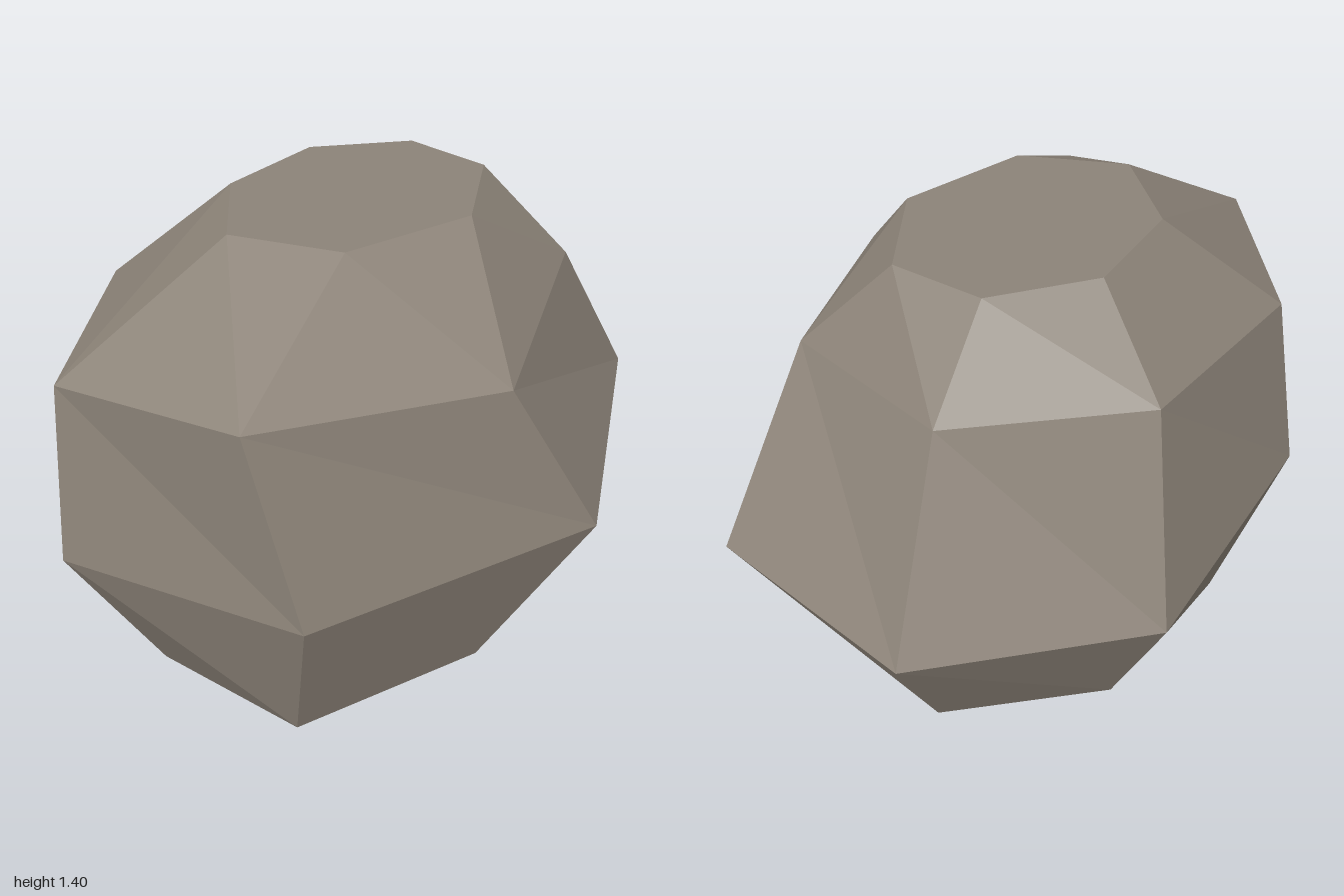
import * as THREE from 'three';

// Rings of seven corners [x, y, z], from the ground up, running from +x towards +z
const RINGS = [
  // base
  [[0.69, 0, -0.17], [0.57, 0, 0.30], [-0.03, 0, 0.54], [-0.64, 0, 0.34],
    [-0.72, 0, -0.18], [-0.28, 0, -0.60], [0.31, 0, -0.56]],
  // widest girth
  [[1.0, 0.57, -0.30], [0.94, 0.61, 0.37], [0.17, 0.555, 0.80], [-0.75, 0.565, 0.50],
    [-1.0, 0.56, -0.22], [-0.41, 0.56, -0.76], [0.46, 0.55, -0.80]],
  // shoulder
  [[0.69, 1.13, -0.21], [0.59, 1.14, 0.33], [-0.07, 1.07, 0.63], [-0.79, 1.15, 0.34],
    [-0.92, 1.10, -0.25], [-0.40, 1.10, -0.66], [0.31, 1.15, -0.65]],
  // flat crown
  [[0.46, 1.4, -0.20], [0.46, 1.4, 0.09], [0.15, 1.4, 0.29], [-0.26, 1.4, 0.19],
    [-0.40, 1.4, -0.12], [-0.16, 1.4, -0.37], [0.20, 1.4, -0.40]],
];

function boulderGeometry(rings) {
  const positions = [];
  const tri = (a, b, c) => positions.push(...a, ...b, ...c);
  const n = rings[0].length;

  // Faceted bands between neighbouring rings
  for (let r = 0; r < rings.length - 1; r++) {
    const low = rings[r], high = rings[r + 1];
    for (let i = 0; i < n; i++) {
      const j = (i + 1) % n;
      tri(low[i], high[j], low[j]);
      tri(low[i], high[i], high[j]);
    }
  }

  // Flat base and crown
  const base = rings[0], crown = rings[rings.length - 1];
  for (let i = 1; i < n - 1; i++) {
    tri(base[0], base[i], base[i + 1]);
    tri(crown[0], crown[i + 1], crown[i]);
  }

  const geometry = new THREE.BufferGeometry();
  geometry.setAttribute('position', new THREE.Float32BufferAttribute(positions, 3));
  geometry.computeVertexNormals();
  return geometry;
}

export function createModel() {
  const stone = new THREE.MeshStandardMaterial({ color: 0x8c8378 });
  stone.name = 'stone';
  stone.flatShading = true;

  const boulder = new THREE.Mesh(boulderGeometry(RINGS), stone);
  boulder.name = 'boulder';

  const group = new THREE.Group();
  group.name = 'rock';
  group.add(boulder);
  return group;
}
